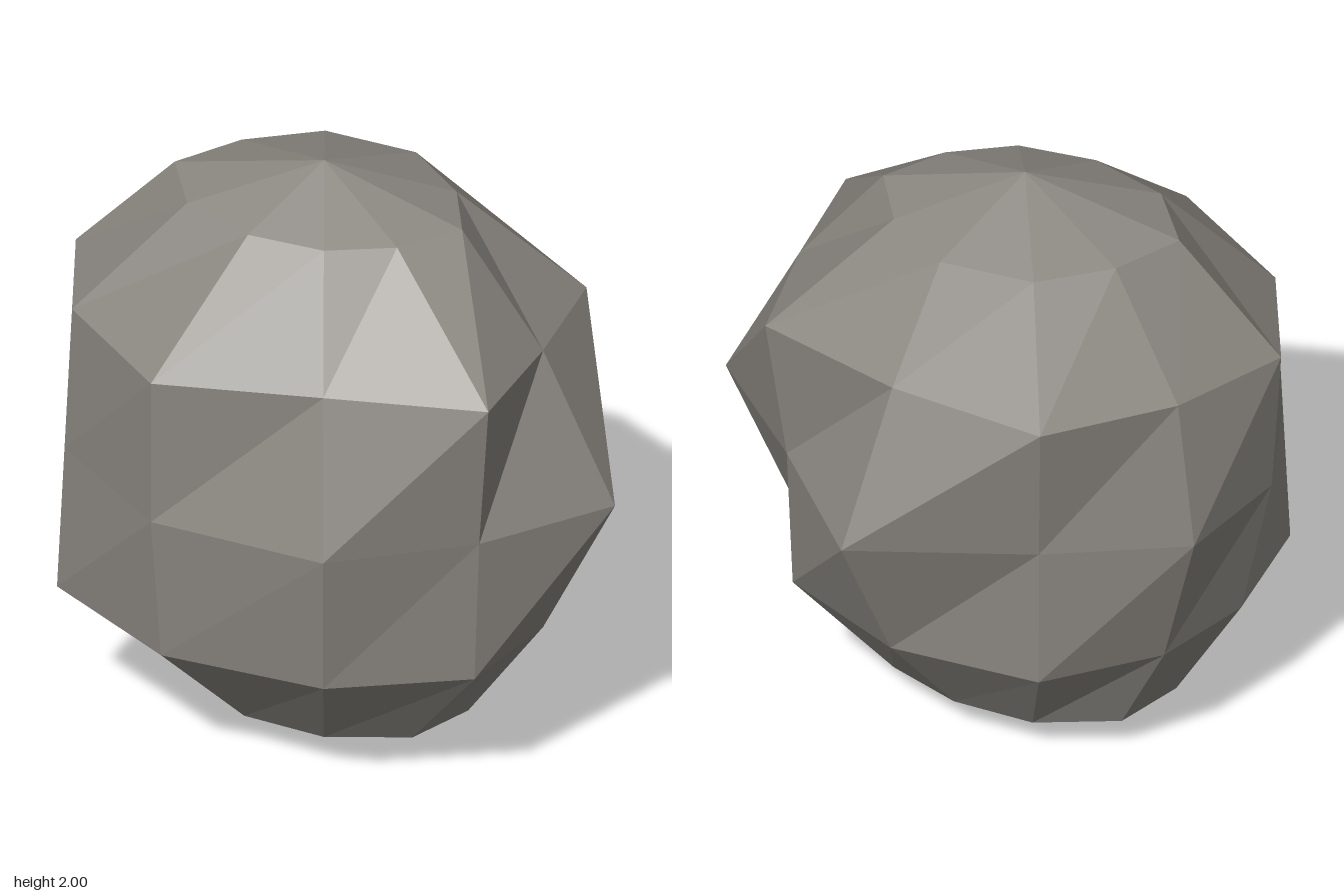
import * as THREE from 'three';

const SIDES = 10;
const CENTRE = { x: -0.07, z: 0.04 };
const DEPTH = 0.745; // front-to-back squash

// Rings of the boulder from top to bottom: height, then the reach of each corner,
// starting at -x and turning through the front (+z).
const RINGS = [
  { y: 1.866, reach: [0.5, 0.457, 0.41, 0.395, 0.395, 0.46, 0.44, 0.49, 0.49, 0.45] },
  { y: 1.5, reach: [0.83, 0.84, 0.93, 0.735, 0.89, 0.73, 0.872, 0.765, 0.875, 0.76] },
  { y: 1.0, reach: [0.8, 0.865, 0.93, 0.935, 0.84, 0.97, 0.8, 1.06, 0.8, 0.84] },
  { y: 0.5, reach: [0.7, 0.89, 0.875, 0.84, 0.815, 0.73, 0.78, 0.775, 0.79, 0.69] },
  { y: 0.134, reach: [0.49, 0.41, 0.43, 0.447, 0.478, 0.48, 0.44, 0.41, 0.437, 0.48] },
];

function boulderGeometry() {
  const positions = [CENTRE.x, 2, CENTRE.z];
  for (const { y, reach } of RINGS) {
    reach.forEach((r, i) => {
      const angle = (i / SIDES) * Math.PI * 2;
      positions.push(CENTRE.x - r * Math.cos(angle), y, CENTRE.z + r * DEPTH * Math.sin(angle));
    });
  }
  positions.push(CENTRE.x, 0, CENTRE.z);

  const corner = (ring, i) => 1 + ring * SIDES + (i % SIDES);
  const bottom = 1 + RINGS.length * SIDES;
  const last = RINGS.length - 1;
  const index = [];
  for (let i = 0; i < SIDES; i++) {
    // Top cap
    index.push(0, corner(0, i), corner(0, i + 1));
    // Side facets
    for (let ring = 0; ring < last; ring++) {
      const a = corner(ring, i + 1);
      const b = corner(ring, i);
      const c = corner(ring + 1, i);
      const d = corner(ring + 1, i + 1);
      index.push(a, b, c, a, c, d);
    }
    // Bottom cap
    index.push(bottom, corner(last, i + 1), corner(last, i));
  }

  const indexed = new THREE.BufferGeometry();
  indexed.setAttribute('position', new THREE.Float32BufferAttribute(positions, 3));
  indexed.setIndex(index);
  const geometry = indexed.toNonIndexed();
  geometry.computeVertexNormals(); // one normal per facet
  return geometry;
}

export function createModel() {
  const group = new THREE.Group();
  group.name = 'rock';

  const stone = new THREE.MeshStandardMaterial({ color: 0x8a8680, flatShading: true });
  stone.name = 'stone grey';

  const boulder = new THREE.Mesh(boulderGeometry(), stone);
  boulder.name = 'boulder';
  group.add(boulder);
  return group;
}
